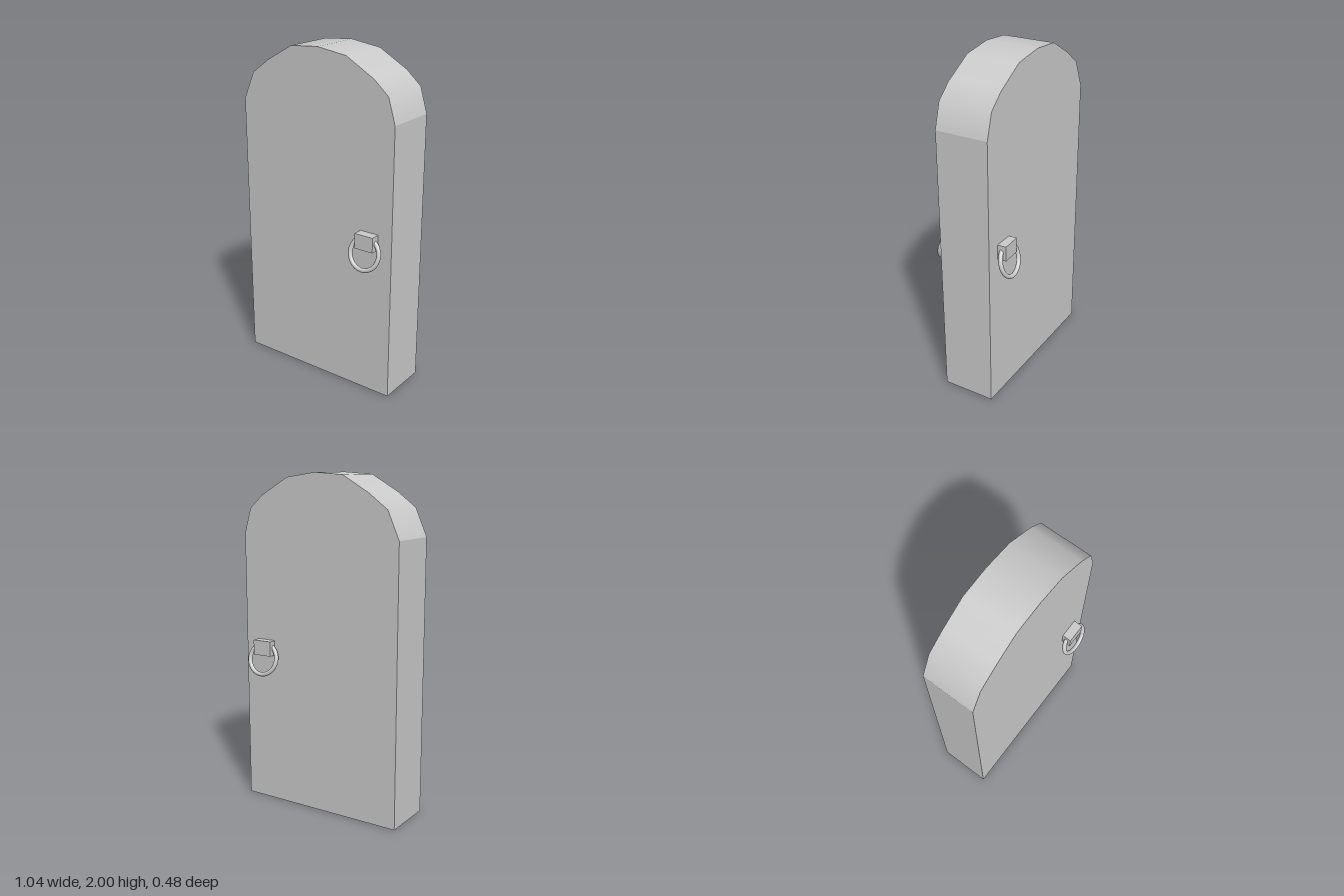
import * as THREE from 'three';

const material = new THREE.MeshStandardMaterial({ color: 0xcccccc });

// Hand-cut arch, from the right shoulder over the crown to the left shoulder
const ARCH = [
  [0.52, 1.643], [0.476, 1.79], [0.385, 1.87], [0.206, 1.972], [0.015, 2.0],
  [-0.167, 1.988], [-0.336, 1.892], [-0.452, 1.807], [-0.524, 1.645],
].map(([x, y]) => new THREE.Vector2(x, y));

const Z_BACK = -0.163, Z_FRONT = 0.157;

function createPanel() {
  const shape = new THREE.Shape([new THREE.Vector2(-0.524, 0), new THREE.Vector2(0.52, 0), ...ARCH]);
  const geometry = new THREE.ExtrudeGeometry(shape, { depth: Z_FRONT - Z_BACK, bevelEnabled: false });
  geometry.translate(0, 0, Z_BACK);

  // Smooth the arch only; walls, base and faces stay flat
  const smooth = ARCH.map((p, i) => {
    const a = ARCH[Math.max(i - 1, 0)], b = ARCH[Math.min(i + 1, ARCH.length - 1)];
    const before = p.clone().sub(a).normalize(), after = b.clone().sub(p).normalize();
    const t = before.add(after).normalize();
    return new THREE.Vector2(t.y, -t.x);
  });
  const { position, normal } = geometry.attributes;
  for (let i = 0; i < position.count; i++) {
    if (normal.getY(i) < 0.05) continue;
    const k = ARCH.findIndex(p => Math.hypot(p.x - position.getX(i), p.y - position.getY(i)) < 1e-4);
    if (k >= 0) normal.setXYZ(i, smooth[k].x, smooth[k].y, 0);
  }

  const panel = new THREE.Mesh(geometry, material);
  panel.name = 'doorPanel';
  return panel;
}

// Mounting block with a ring hanging out from the door; side is +1 front, -1 back
function createHandle(name, side, yaw) {
  const handle = new THREE.Group();
  handle.name = name;

  const block = new THREE.Mesh(new THREE.BoxGeometry(0.12, 0.09, 0.07), material);
  block.name = 'handleBlock';
  block.position.set(0, 0.965, side * -0.024);

  const ring = new THREE.Mesh(new THREE.TorusGeometry(0.094, 0.0128, 16, 48), material);
  ring.name = 'handleRing';
  ring.position.set(0, 0.898, 0);
  ring.rotation.x = side * -0.265;

  handle.add(block, ring);
  handle.position.set(0.371, 0, side * 0.2025);
  handle.rotation.y = yaw;
  return handle;
}

export function createModel() {
  const door = new THREE.Group();
  door.name = 'archedDoor';
  door.add(createPanel(), createHandle('frontHandle', 1, 0), createHandle('backHandle', -1, 0.045));
  return door;
}
